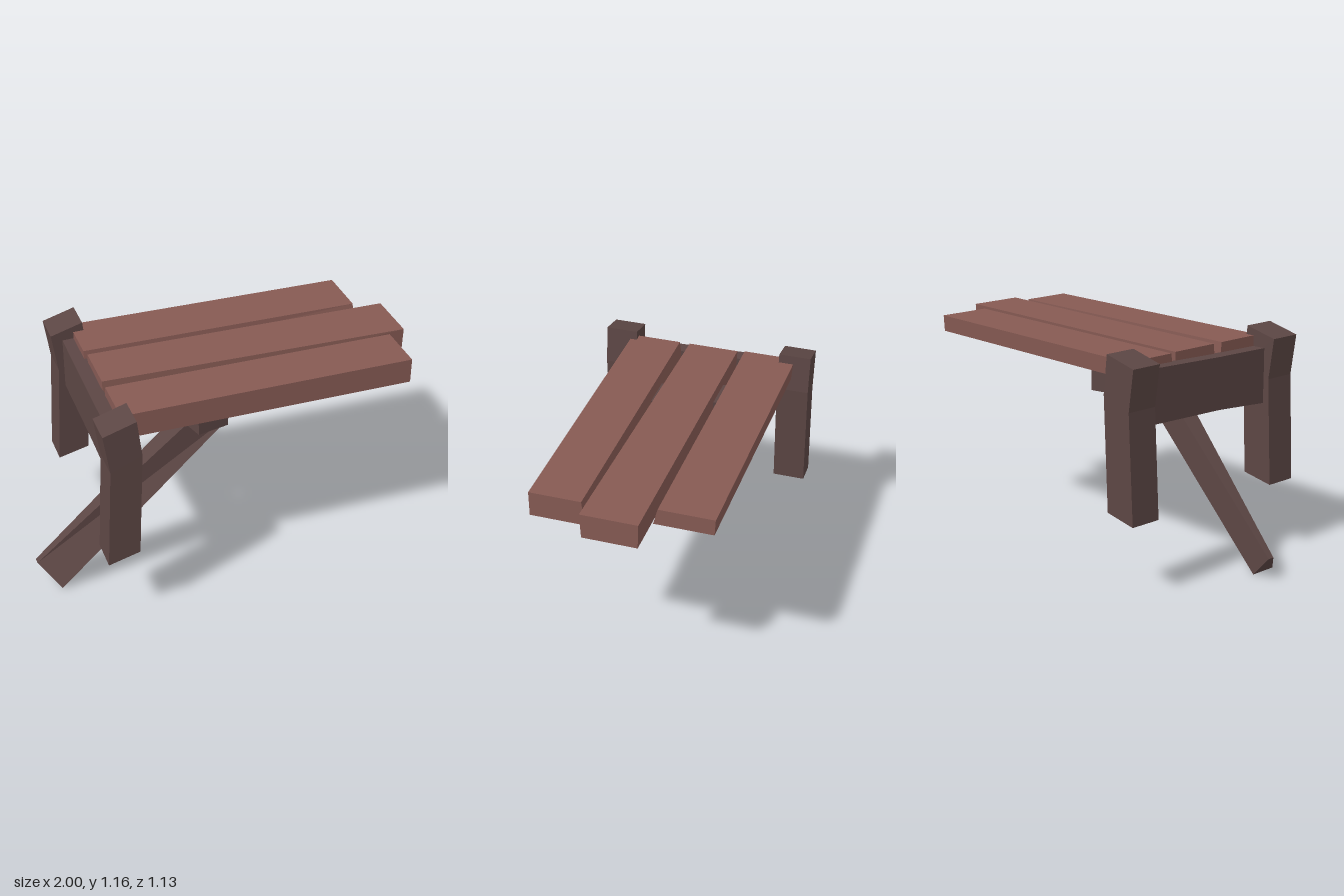
import * as THREE from 'three';

const plankWood = new THREE.MeshStandardMaterial({ color: 0x865a53 });
plankWood.name = 'plankWood';
const frameWood = new THREE.MeshStandardMaterial({ color: 0x5c4644 });
frameWood.name = 'frameWood';

// Hewn timber: joins four-cornered cross-sections, caps both ends, flat faces.
function timber(name, rings, material) {
  const tris = [];
  const quad = (a, b, c, d) => tris.push([a, b, c], [a, c, d]);
  for (let i = 0; i < rings.length - 1; i++) {
    for (let j = 0; j < 4; j++) {
      const k = (j + 1) % 4;
      quad(rings[i][j], rings[i][k], rings[i + 1][k], rings[i + 1][j]);
    }
  }
  const last = rings[rings.length - 1];
  quad(rings[0][3], rings[0][2], rings[0][1], rings[0][0]);
  quad(last[0], last[1], last[2], last[3]);

  // Turn all faces outward, whichever way the sections run.
  const v = (p) => new THREE.Vector3(...p);
  const volume = tris.reduce((s, [a, b, c]) => s + v(a).dot(v(b).cross(v(c))), 0);
  if (volume < 0) tris.forEach((t) => t.reverse());

  const geometry = new THREE.BufferGeometry();
  geometry.setAttribute('position', new THREE.Float32BufferAttribute(tris.flat(2), 3));
  geometry.computeVertexNormals();
  const mesh = new THREE.Mesh(geometry, material);
  mesh.name = name;
  return mesh;
}

// Section across x: z limits at the top and bottom edges.
const plankEnd = (x, y0, y1, topFront, topBack, lowFront, lowBack) => [
  [x, y1, topFront], [x, y1, topBack], [x, y0, lowBack], [x, y0, lowFront],
];

export function createModel() {
  const group = new THREE.Group();
  group.name = 'brokenTable';

  // Table top planks, slightly askew and of unequal length
  group.add(
    timber('frontPlank', [
      plankEnd(-0.6, 0.99, 1.12, 0.425, 0.16, 0.425, 0.145),
      plankEnd(0.91, 0.99, 1.12, 0.425, 0.165, 0.425, 0.152),
    ], plankWood),
    timber('middlePlank', [
      plankEnd(-0.6, 0.99, 1.12, 0.105, -0.16, 0.115, -0.155),
      plankEnd(1.0, 0.99, 1.12, 0.143, -0.14, 0.137, -0.135),
    ], plankWood),
    timber('backPlank', [
      plankEnd(-0.61, 1.035, 1.12, -0.197, -0.475, -0.185, -0.47),
      plankEnd(0.86, 1.035, 1.12, -0.185, -0.46, -0.163, -0.455),
    ], plankWood),
  );

  // Bent corner posts: [left x, left y, right x, right y] from foot to top
  const postProfile = [
    [-0.73, 0.36, -0.565, 0.395],
    [-0.7, 0.91, -0.538, 0.97],
    [-0.73, 1.12, -0.56, 1.165],
  ];
  for (const [name, z, skew] of [['frontPost', 0.478, 0.005], ['backPost', -0.477, 0.004]]) {
    group.add(timber(name, postProfile.map(([x0, y0, x1, y1]) => [
      [x0, y0, z + 0.084 + skew], [x1, y1, z + 0.084 - skew],
      [x1, y1, z - 0.084 - skew], [x0, y0, z - 0.084 + skew],
    ]), frameWood));
  }

  // Sagging beam between the posts
  group.add(timber('endBeam', [[0.42, 0.78, 1.065], [0.08, 0.803, 1.07], [-0.42, 0.813, 1.085]]
    .map(([z, y0, y1]) => [[-0.67, y0, z], [-0.595, y0, z], [-0.595, y1, z], [-0.67, y1, z]]), frameWood));

  // Skewed batten beneath the planks
  group.add(timber('batten', [
    [-0.2, 0.385, -0.035, 0.35],
    [-0.39, -0.325, -0.22, -0.36],
  ].map(([x0, z0, x1, z1]) => [[x0, 0.895, z0], [x1, 0.895, z1], [x1, 1.06, z1], [x0, 1.06, z0]]), frameWood));

  // Sloping prop, its foot hewn to a narrow upper edge
  group.add(timber('prop', [
    [[-1, 0.11, 0.1], [-1, 0.11, 0.135], [-0.9, 0, 0.245], [-0.9, 0, 0.103]],
    [[-0.06, 1.01, 0.118], [-0.06, 1.01, 0.255], [0.04, 0.905, 0.26], [0.04, 0.905, 0.12]],
  ], frameWood));

  return group;
}
